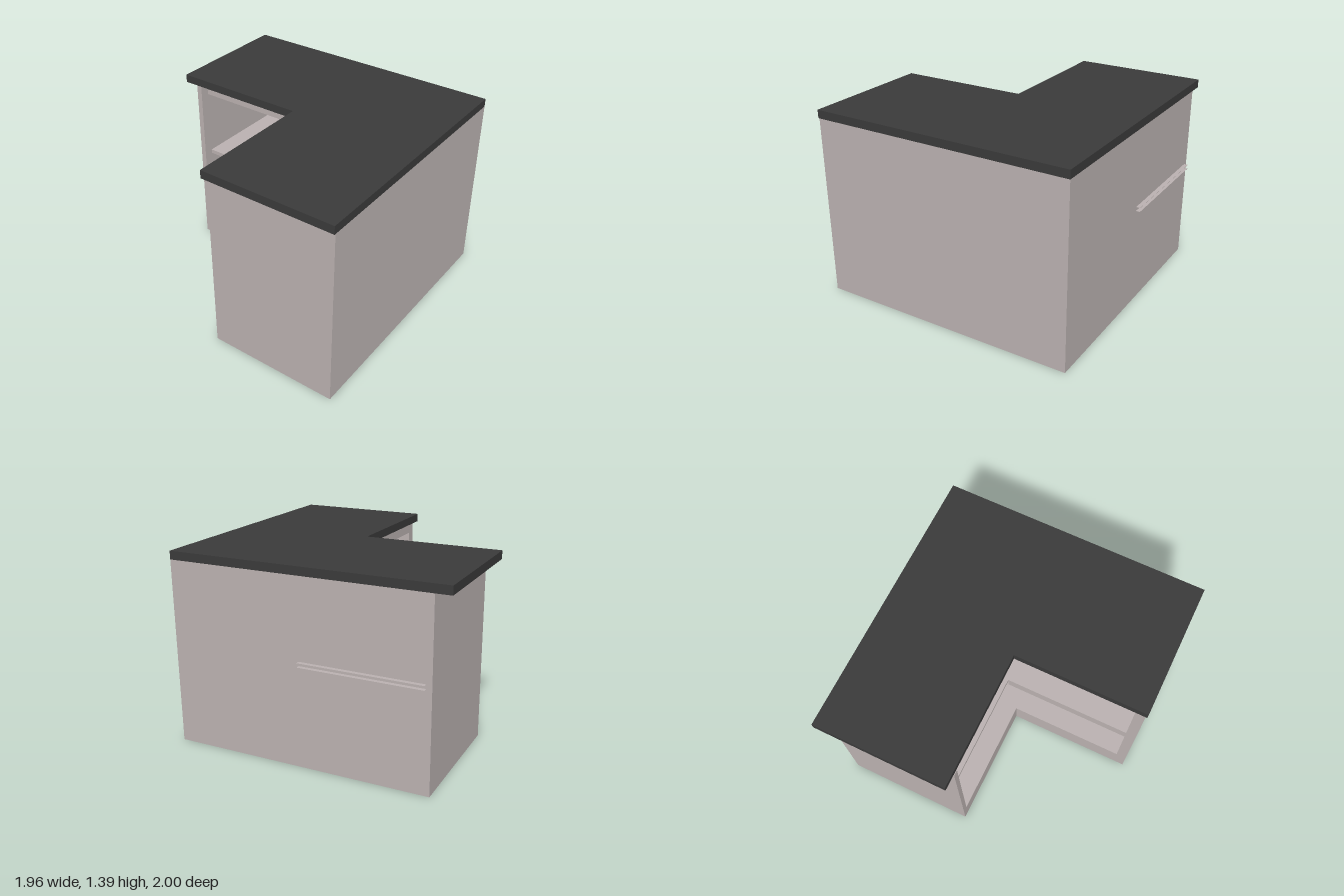
import * as THREE from 'three';

export function createModel() {
  const model = new THREE.Group();
  const cabinetGrey = new THREE.MeshStandardMaterial({ color: 0xbab1b0 });
  cabinetGrey.name = 'cabinetGrey';
  const worktopBlack = new THREE.MeshStandardMaterial({ color: 0x3a3a3a });
  worktopBlack.name = 'worktopBlack';

  const add = (name, geometry, material) => {
    const mesh = new THREE.Mesh(geometry, material);
    mesh.name = name;
    model.add(mesh);
    return mesh;
  };

  // Box given by its extents
  const panel = (name, [x0, x1], [y0, y1], [z0, z1]) =>
    add(name, new THREE.BoxGeometry(x1 - x0, y1 - y0, z1 - z0), cabinetGrey)
      .position.set((x0 + x1) / 2, (y0 + y1) / 2, (z0 + z1) / 2);

  // L-shaped slab with a notch cut from its -x, -z corner
  const slab = (name, [x0, x1], [z0, z1], [notchX, notchZ], [y0, y1], material) => {
    const outline = [[x0, z1], [x1, z1], [x1, z0], [notchX, z0], [notchX, notchZ], [x0, notchZ]];
    const shape = new THREE.Shape(outline.map(([x, z]) => new THREE.Vector2(x, -z)));
    const geometry = new THREE.ExtrudeGeometry(shape, { depth: y1 - y0, bevelEnabled: false });
    geometry.rotateX(-Math.PI / 2).translate(0, y0, 0);
    add(name, geometry, material);
  };

  const floor = 0.19, top = 1.33;
  const wall = [floor, top];

  // Worktop and plinth
  slab('worktop', [-0.98, 0.95], [-1, 1], [-0.015, 0], [top, 1.39], worktopBlack);
  slab('plinth', [-0.97, 0.95], [-0.89, 1], [-0.02, 0.04], [0, floor], cabinetGrey);

  // Outer walls and the two end panels
  panel('frontWall', [-0.97, 0.95], wall, [0.96, 1]);
  panel('leftWall', [0.91, 0.95], wall, [-0.89, 0.96]);
  panel('rightEndPanel', [-0.97, -0.895], wall, [0.04, 0.96]);
  panel('backEndPanel', [-0.02, 0.91], wall, [-0.89, -0.85]);

  // Shelf and the rails along the two open sides
  slab('shelf', [-0.895, 0.91], [-0.85, 0.96], [0.05, 0.04], [0.727, 0.757], cabinetGrey);
  panel('shelfRail', [-0.895, 0.05], [0.667, 0.727], [0.04, 0.07]);
  panel('topRailRight', [-0.895, 0.05], [1.245, top], [0.04, 0.08]);
  panel('topRailBack', [0.05, 0.09], [1.245, top], [-0.85, 0.04]);

  // Twin shelf lips passing through the left wall
  for (const y of [0.727, 0.757]) {
    panel('shelfLip', [0.95, 0.98], [y - 0.001, y + 0.001], [-0.85, 0.03]);
  }

  return model;
}
